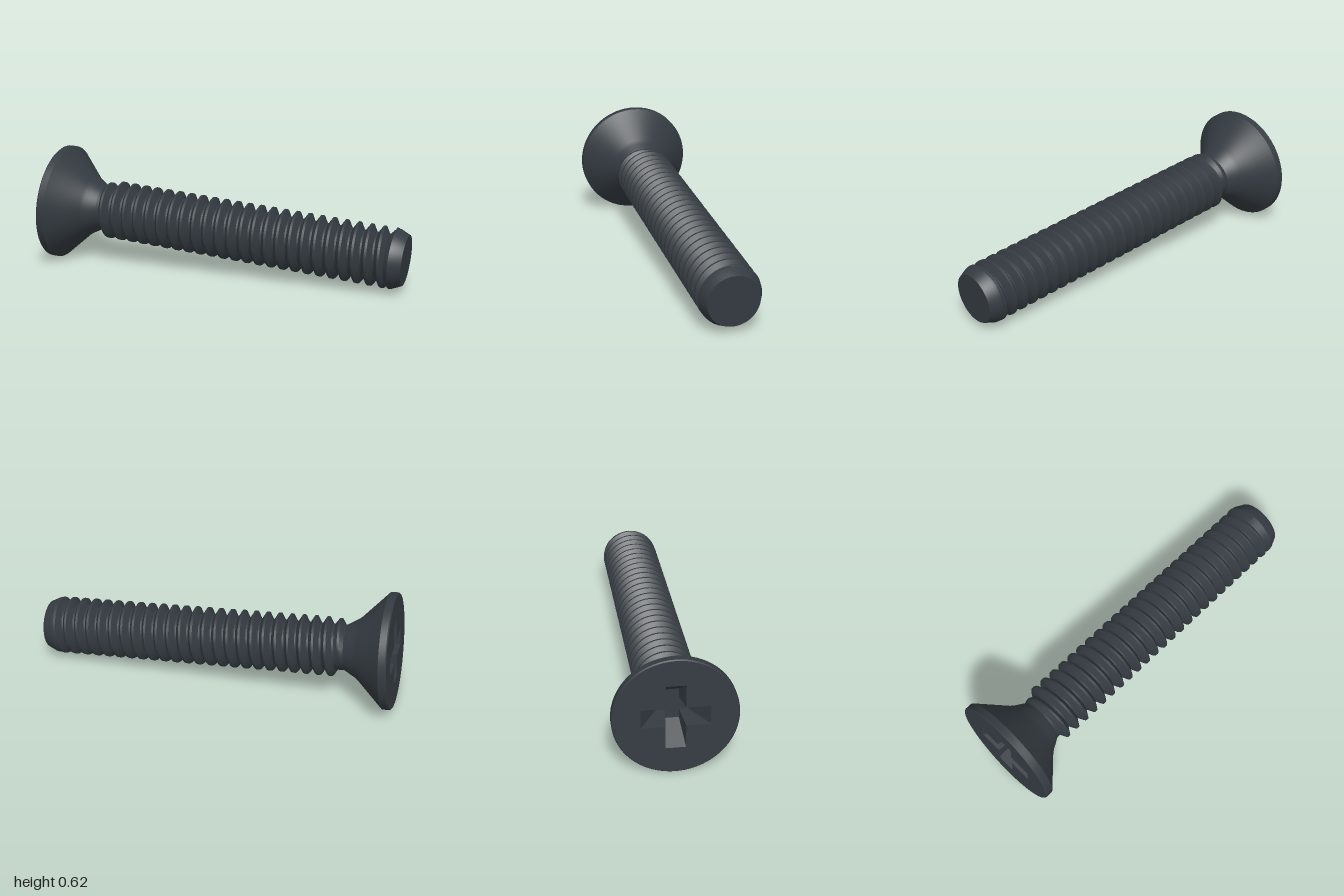
import * as THREE from 'three';
import { toCreasedNormals } from 'three/addons/utils/BufferGeometryUtils.js';

// Local frame: screw axis runs along +Y, head face at y = 0, tip at y = LENGTH.
const LENGTH = 1.953, PITCH = 0.0665, CORE = 0.122, CREST = 0.159;
const HEAD = 0.31;

// Outline of a plus sign with the given arm half length and half width
function crossPoints(a, w) {
  return [[a, -w], [a, w], [w, w], [w, a], [-w, a], [-w, w],
    [-a, w], [-a, -w], [-w, -w], [-w, -a], [w, -a], [w, -w]].map(([x, y]) => new THREE.Vector2(x, y));
}

function lathe(profile) {
  const points = profile.map(([r, y]) => new THREE.Vector2(r, y));
  return toCreasedNormals(new THREE.LatheGeometry(points, 72), 0.45);
}

// Right-handed helical ridge: a small trapezoid section swept along the core
function threadGeometry() {
  const first = 0.27, last = 1.89, perTurn = 48;
  const rows = Math.round((last - first) / PITCH * perTurn);
  const section = [[-0.45, 0], [-0.09, 1], [0.09, 1], [0.45, 0]];
  const positions = [], index = [];
  for (let i = 0; i <= rows; i++) {
    const t = last - (rows - i) / perTurn * PITCH;
    const angle = (i - rows) / perTurn * Math.PI * 2;
    const fade = Math.min(1, i / (perTurn * 0.5));
    for (const [offset, height] of section) {
      const r = CORE - 0.002 + (CREST - CORE + 0.002) * height * fade;
      positions.push(r * Math.sin(angle), t + offset * PITCH, r * Math.cos(angle));
    }
  }
  for (let i = 0; i < rows; i++) {
    for (let j = 0; j < 3; j++) {
      const a = i * 4 + j, b = a + 4;
      index.push(a, b, b + 1, a, b + 1, a + 1);
    }
  }
  const geometry = new THREE.BufferGeometry();
  geometry.setAttribute('position', new THREE.Float32BufferAttribute(positions, 3));
  geometry.setIndex(index);
  return toCreasedNormals(geometry, 0.5);
}

// Tapered walls between the mouth and the floor of the recess
function recessWalls(mouth, floor, depth) {
  const positions = [];
  mouth.forEach((p, i) => {
    const k = (i + 1) % mouth.length;
    const a = [p.x, p.y, 0], b = [mouth[k].x, mouth[k].y, 0];
    const c = [floor[k].x, floor[k].y, -depth], d = [floor[i].x, floor[i].y, -depth];
    positions.push(...a, ...b, ...c, ...a, ...c, ...d);
  });
  const geometry = new THREE.BufferGeometry();
  geometry.setAttribute('position', new THREE.Float32BufferAttribute(positions, 3));
  geometry.computeVertexNormals();
  return geometry;
}

export function createModel() {
  const model = new THREE.Group();
  model.name = 'countersunkScrew';
  const steel = new THREE.MeshStandardMaterial({ color: 0x343b41 });
  steel.name = 'blackened steel';

  const screw = new THREE.Group();
  screw.name = 'screw';
  model.add(screw);
  const add = (name, geometry) => {
    const mesh = new THREE.Mesh(geometry, steel);
    mesh.name = name;
    screw.add(mesh);
    return mesh;
  };

  // Head: thin rim, countersunk cone and neck fillet
  add('head', lathe([[HEAD - 0.005, 0], [HEAD, 0.006], [HEAD, 0.042], [0.168, 0.185],
    [0.154, 0.205], [0.143, 0.225], [CORE, 0.26]]));

  // Flat head face with the cross drive recess
  const mouth = crossPoints(0.17, 0.05), floor = crossPoints(0.08, 0.034), depth = 0.13;
  const face = new THREE.Shape().absarc(0, 0, HEAD - 0.005, 0, Math.PI * 2);
  face.holes.push(new THREE.Path(mouth));
  add('headFace', new THREE.ShapeGeometry(face, 36).rotateX(Math.PI / 2));
  add('recessWalls', recessWalls(mouth, floor, depth).rotateX(Math.PI / 2));
  add('recessFloor', new THREE.ShapeGeometry(new THREE.Shape(floor))
    .rotateX(Math.PI / 2).translate(0, depth, 0));

  // Shank with chamfered tip, and its thread
  add('shank', lathe([[CORE, 0.24], [CORE, 1.855], [0.157, 1.888], [0.154, 1.905],
    [0.132, LENGTH], [0, LENGTH]]));
  add('thread', threadGeometry());

  // Lay the screw down so it leans on its head rim and tip
  const start = new THREE.Vector3(-0.935, 0.31, -0.123);
  const axis = new THREE.Vector3(0.971, 0.165, 0.273).sub(start).normalize();
  const side = new THREE.Vector3().crossVectors(axis, new THREE.Vector3(0, 1, 0)).normalize();
  const up = new THREE.Vector3().crossVectors(side, axis);
  screw.quaternion.setFromRotationMatrix(new THREE.Matrix4().makeBasis(side, axis, up));
  screw.position.copy(start);
  return model;
}
